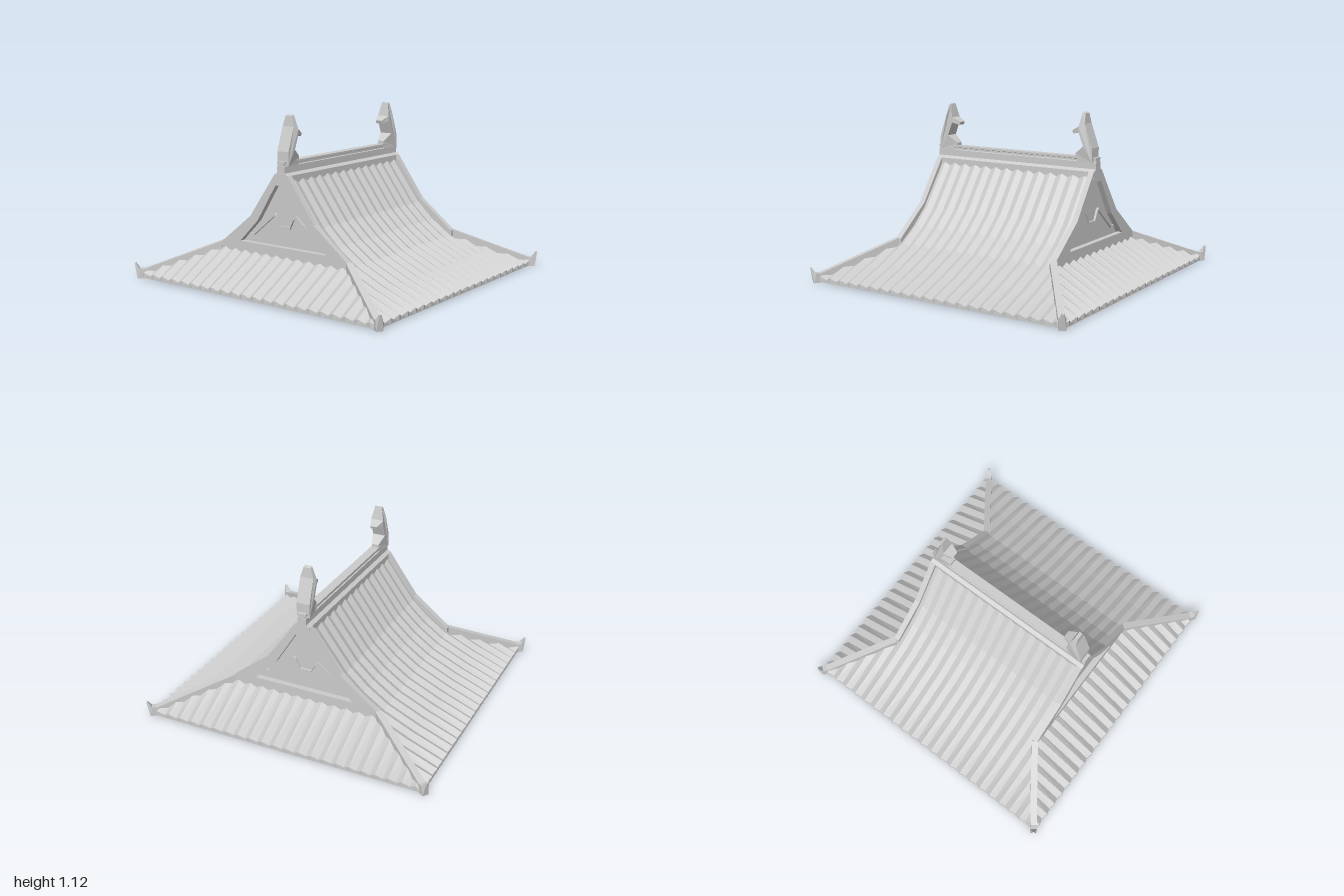
import * as THREE from 'three';

const material = new THREE.MeshStandardMaterial({ color: 0xcccccc, flatShading: true });
const tileMaterial = new THREE.MeshStandardMaterial({ color: 0xcccccc, flatShading: true, side: THREE.DoubleSide });

// Where the hip line starts (below the gable) and where it ends (corner tip)
const HIP = { x: 0.605, z: 0.52, dx: 0.35, dz: 0.476 };
const hipSlope = HIP.dz / HIP.dx;

function named(geometry, name, mat = material) {
  const mesh = new THREE.Mesh(geometry, mat);
  mesh.name = name;
  return mesh;
}

const toShape = (points) => new THREE.Shape(points.map(([x, y]) => new THREE.Vector2(x, y)));

// Half outline (listed bottom to top) completed by its mirror image
const mirrored = (half) => [...half, ...half.slice().reverse().map(([x, y]) => [-x, y])];

// Extrude an outline and centre it in depth
function slab(shape, depth) {
  const g = new THREE.ExtrudeGeometry(shape, { depth, bevelEnabled: false });
  return g.translate(0, 0, -depth / 2);
}

// Pleated tile field: zigzag columns along the eave, rows following the profile [out, y].
// topAt(x, middle) gives how far inward a column runs.
function tileField(halfWidth, strips, profile, topAt) {
  const positions = [];
  const heightAt = (z) => {
    let i = 0;
    while (i < profile.length - 2 && z < profile[i + 1][0]) i++;
    const [[z0, y0], [z1, y1]] = [profile[i], profile[i + 1]];
    return y0 + ((y1 - y0) * (z - z0)) / (z1 - z0);
  };
  const column = (i, middle) => {
    const x = -halfWidth + (2 * halfWidth * i) / strips;
    const lift = i % 2 ? 0.012 : -0.009;
    const eave = profile[0][0];
    const top = Math.min(topAt(Math.abs(x), middle), eave - 0.002);
    const rows = profile.map(([z], r) => {
      const zz = Math.max(z, top);
      return [x, heightAt(zz) + lift, zz + (r === 0 ? lift * 0.7 : 0)];
    });
    return [[x, 0.012, rows[0][2]], ...rows];
  };
  for (let i = 0; i < strips; i++) {
    const middle = Math.abs(-halfWidth + (2 * halfWidth * (i + 0.5)) / strips);
    const a = column(i, middle), b = column(i + 1, middle);
    for (let r = 0; r < a.length - 1; r++) {
      if (r > 0 && a[r][2] === a[r + 1][2] && b[r][2] === b[r + 1][2]) continue;
      positions.push(...a[r], ...b[r], ...b[r + 1], ...a[r], ...b[r + 1], ...a[r + 1]);
    }
  }
  const g = new THREE.BufferGeometry();
  g.setAttribute('position', new THREE.Float32BufferAttribute(positions, 3));
  g.computeVertexNormals();
  return g;
}

// Hip rib ending in an upturned corner horn
function hipRib(sx, sz) {
  const outline = [[0, 0.18], [0.52, 0], [0.572, 0], [0.591, 0.1], [0.583, 0.105],
    [0.558, 0.065], [0.53, 0.062], [0, 0.258]];
  const g = slab(toShape(outline), 0.044);
  const p = g.attributes.position;
  for (let i = 0; i < p.count; i++) {
    if (p.getX(i) > 0.575) p.setZ(i, p.getZ(i) * 0.3);
  }
  g.rotateY(-Math.atan2(sz * HIP.dz, sx * HIP.dx));
  g.translate(sx * HIP.x, 0, sz * HIP.z);
  g.computeVertexNormals();
  return named(g, 'hipRib');
}

// Gable end facing +x: verge frame, recessed wall and angular moulding
function gable() {
  const group = new THREE.Group();
  group.name = 'gable';
  const frame = toShape(mirrored([[0.52, 0.19], [0.52, 0.25], [0.26, 0.455], [0.055, 0.742]]));
  frame.holes.push(toShape(mirrored([[0.35, 0.28], [0.2, 0.43], [0.045, 0.675]])));
  const wall = toShape(mirrored([[0.42, 0.2], [0.24, 0.42], [0.05, 0.7]]));
  const line = [[0.31, 0.335], [0.27, 0.335], [0.09, 0.485], [0.07, 0.475], [0.04, 0.41]];
  const lower = [[0.035, 0.395], [0.065, 0.455], [0.09, 0.467], [0.265, 0.322], [0.31, 0.322]];
  const flip = (pts) => pts.slice().reverse().map(([x, y]) => [-x, y]);
  const moulding = toShape([...line, ...flip(line), ...flip(lower), ...lower]);
  for (const [shape, depth, x, name] of [
    [frame, 0.038, 0.602, 'vergeFrame'],
    [wall, 0.02, 0.56, 'gableWall'],
    [moulding, 0.02, 0.575, 'gableMoulding'],
  ]) {
    group.add(named(slab(shape, depth).rotateY(Math.PI / 2).translate(x, 0, 0), name));
  }
  return group;
}

// Ridge-end ornament on the +x side, with its beak pointing inward
function ridgeOrnament() {
  const outline = [[0.6, 0.8], [0.6, 0.89], [0.545, 1.045], [0.54, 1.11], [0.52, 1.118],
    [0.5, 1.025], [0.443, 0.995], [0.45, 0.975], [0.5, 0.99], [0.535, 0.9], [0.47, 0.85], [0.47, 0.8]];
  const g = slab(toShape(outline), 0.09);
  const p = g.attributes.position;
  for (let i = 0; i < p.count; i++) {
    if (p.getY(i) > 1.08 || p.getX(i) < 0.48) p.setZ(i, p.getZ(i) * 0.55);
  }
  g.computeVertexNormals();
  return named(g, 'ridgeOrnament');
}

export function createModel() {
  const roof = new THREE.Group();
  roof.name = 'hipAndGableRoof';

  // Flat underside
  const base = named(new THREE.BoxGeometry(1.88, 0.02, 1.92), 'basePlate');
  base.position.y = 0.015;
  roof.add(base);

  // Long front and back slopes, sweeping up to the ridge
  const mainProfile = [[0.96, 0.032], [0.74, 0.118], [0.52, 0.218], [0.38, 0.315],
    [0.26, 0.425], [0.15, 0.572], [0.045, 0.715]];
  const main = tileField(0.94, 44, mainProfile,
    (x, middle) => (middle < 0.598 ? 0.045 : HIP.z + (x - HIP.x) * hipSlope));
  // Short skirts under the gables
  const skirt = tileField(0.96, 44, [[0.94, 0.032], [0.6, 0.225]],
    (z) => HIP.x + Math.max(0, z - HIP.z) / hipSlope);

  for (const side of [0, 1]) {
    const front = named(main, side ? 'backTiles' : 'frontTiles', tileMaterial);
    front.rotation.y = side * Math.PI;
    const flank = named(skirt, side ? 'rightSkirtTiles' : 'leftSkirtTiles', tileMaterial);
    flank.rotation.y = Math.PI / 2 + side * Math.PI;
    const end = gable();
    end.rotation.y = side * Math.PI;
    const ornament = ridgeOrnament();
    ornament.rotation.y = side * Math.PI;
    roof.add(front, flank, end, ornament);
  }

  for (const sx of [1, -1]) for (const sz of [1, -1]) roof.add(hipRib(sx, sz));

  // Moulded ridge beam
  const ridge = toShape(mirrored([[0.055, 0.69], [0.055, 0.742], [0.03, 0.757], [0.03, 0.8],
    [0.022, 0.803], [0.022, 0.815], [0.03, 0.818], [0.03, 0.83]]));
  roof.add(named(slab(ridge, 1.245).rotateY(Math.PI / 2), 'ridgeBeam'));

  return roof;
}
